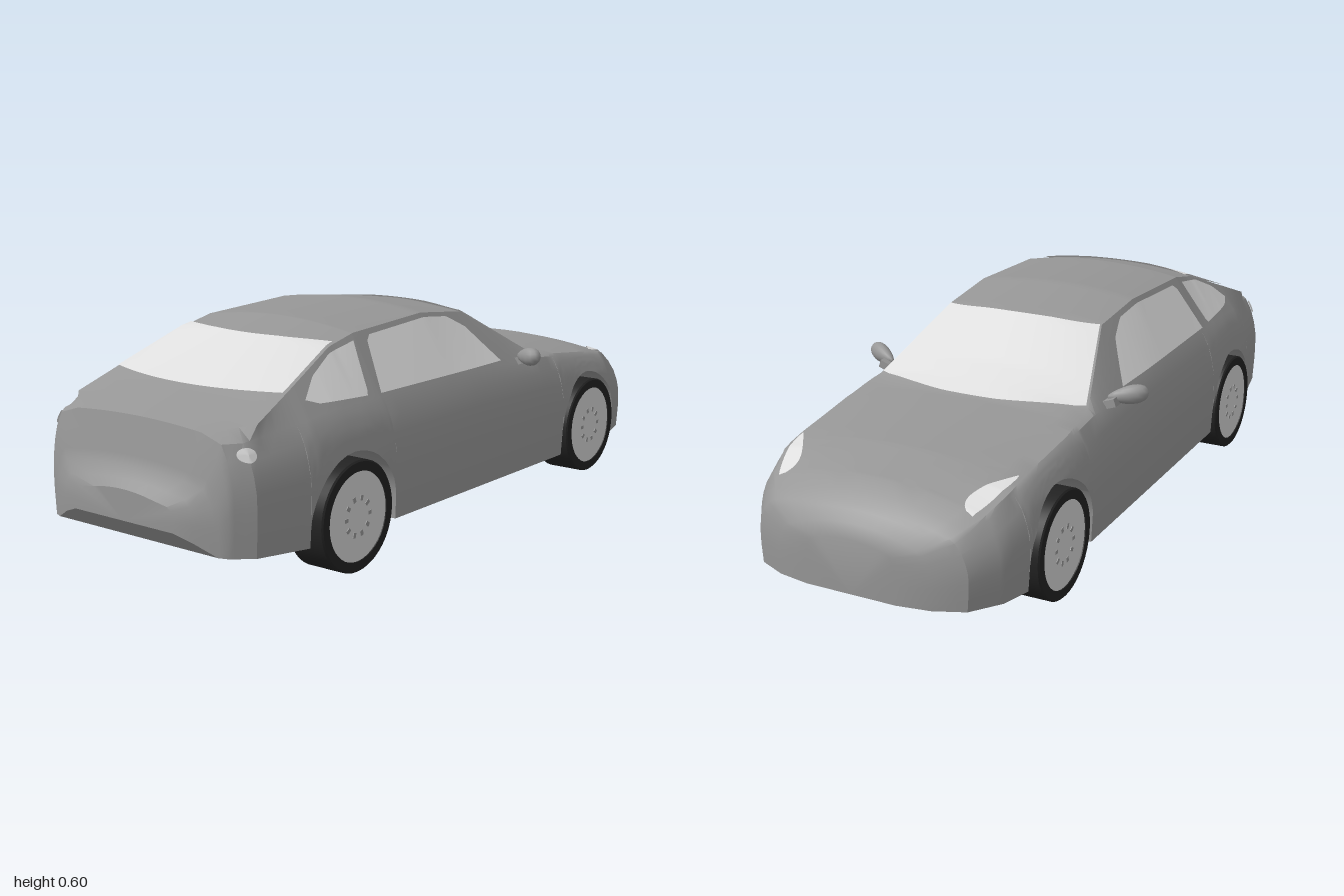
import * as THREE from 'three';
import { toCreasedNormals } from 'three/addons/utils/BufferGeometryUtils.js';

const material = (name, color, side = THREE.FrontSide) => {
  const m = new THREE.MeshStandardMaterial({ color, side });
  m.name = name;
  return m;
};

// Piecewise-linear curve through [x, value] knots
const curve = (...k) => {
  const f = (x) => {
    if (x <= k[0][0]) return k[0][1];
    for (let i = 1; i < k.length; i++) {
      if (x <= k[i][0]) {
        const t = (x - k[i - 1][0]) / (k[i][0] - k[i - 1][0]);
        return k[i - 1][1] + (k[i][1] - k[i - 1][1]) * t;
      }
    }
    return k[k.length - 1][1];
  };
  f.knots = k.map((p) => p[0]);
  return f;
};

// Body lines along the length
const topY = curve([-1, 0.25], [-0.965, 0.3], [-0.94, 0.42], [-0.78, 0.468], [-0.54, 0.567], [-0.41, 0.595],
  [-0.1, 0.603], [0.13, 0.57], [0.3, 0.47], [0.42, 0.415], [0.74, 0.385], [0.88, 0.35], [0.95, 0.305], [0.985, 0.27], [1, 0.235]);
const edgeY = curve([-1, 0.24], [-0.965, 0.29], [-0.94, 0.41], [-0.85, 0.425], [-0.7, 0.482], [-0.52, 0.55],
  [-0.41, 0.572], [-0.1, 0.582], [0.1, 0.558], [0.36, 0.403], [0.7, 0.358], [0.8, 0.338], [0.88, 0.303], [0.95, 0.268], [1, 0.22]);
const edgeZ = curve([-1, 0.1], [-0.965, 0.17], [-0.94, 0.21], [-0.85, 0.305], [-0.7, 0.283], [-0.5, 0.25],
  [0.1, 0.24], [0.35, 0.32], [0.5, 0.332], [0.8, 0.325], [0.88, 0.3], [0.95, 0.25], [0.985, 0.18], [1, 0.1]);
const halfWidth = curve([-1, 0.17], [-0.985, 0.22], [-0.95, 0.3], [-0.9, 0.345], [-0.7, 0.38], [-0.5, 0.387],
  [0.5, 0.387], [0.76, 0.383], [0.87, 0.355], [0.95, 0.3], [0.985, 0.22], [1, 0.13]);
const floorY = curve([-1, 0.17], [-0.96, 0.12], [-0.73, 0.102], [0, 0.09], [0.5, 0.082], [1, 0.09]);
const beltLine = curve([-0.9, 0.39], [-0.6, 0.418], [0, 0.412], [0.4, 0.392]);
const bulge = curve([0, 0.985], [0.35, 1], [0.6, 0.995], [0.8, 0.96], [0.92, 0.92], [1, 0.88]);
const beltY = (x) => Math.min(beltLine(x), edgeY(x) - 0.008);

const WHEELS = [-0.57, 0.62], WHEEL_R = 0.145, ARCH_R = 0.166;

// Outer surface: side z at a height, and top y at a width
const sideZ = (x, y) => {
  const b = beltY(x), f = floorY(x);
  if (y <= b) return halfWidth(x) * bulge((y - f) / (b - f));
  const z = halfWidth(x) * 0.88;
  return z + (edgeZ(x) - z) * Math.min(1, (y - b) / (edgeY(x) - b));
};
const deckY = (x, z) => edgeY(x) + (topY(x) - edgeY(x)) * (1 - Math.min(1, (z / edgeZ(x)) ** 2));

// Lower edge of the side panel, raised over the wheels
const sillY = (x) => {
  let y = floorY(x);
  for (const c of WHEELS) {
    const d = ARCH_R ** 2 - (x - c) ** 2;
    if (d > 0) y = Math.max(y, WHEEL_R + Math.sqrt(d));
  }
  return y;
};

function section(x) {
  const fy = floorY(x), sy = sillY(x), by = beltY(x), inner = Math.min(0.262, halfWidth(x) * 0.65);
  const half = [[0, fy], [inner, fy], [inner, sy]];
  for (let i = 0; i <= 7; i++) {
    const y = sy + (by - sy) * i / 7;
    half.push([sideZ(x, y), y]);
  }
  for (let i = 0; i <= 6; i++) {
    const z = edgeZ(x) * (1 - i / 6);
    half.push([z, deckY(x, z)]);
  }
  const mirrored = half.slice(1, -1).reverse().map(([z, y]) => [-z, y]);
  return [...half, ...mirrored].map(([z, y]) => [x, y, z]);
}

function bodyGeometry() {
  const xs = new Set();
  for (const c of [topY, edgeY, edgeZ, halfWidth, floorY]) c.knots.forEach((x) => xs.add(x));
  for (let i = -24; i <= 24; i++) xs.add(i * 0.04);
  for (const c of WHEELS) {
    for (let i = 0; i <= 16; i++) xs.add(c - ARCH_R * Math.cos(Math.PI * i / 16));
    xs.add(c - ARCH_R + 0.0008).add(c + ARCH_R - 0.0008);
  }
  const loops = [...xs].sort((a, b) => a - b).map(section);
  const n = loops[0].length, last = loops.length - 1, pos = [];
  const tri = (a, b, c) => pos.push(...a, ...b, ...c);
  for (let i = 0; i < last; i++) {
    for (let j = 0; j < n; j++) {
      const k = (j + 1) % n;
      tri(loops[i][j], loops[i + 1][j], loops[i + 1][k]);
      tri(loops[i][j], loops[i + 1][k], loops[i][k]);
    }
  }
  for (let j = 1; j < n - 1; j++) {
    tri(loops[0][0], loops[0][j], loops[0][j + 1]);
    tri(loops[last][0], loops[last][j + 1], loops[last][j]);
  }
  const g = new THREE.BufferGeometry();
  g.setAttribute('position', new THREE.Float32BufferAttribute(pos, 3));
  return toCreasedNormals(g, 0.5);
}

// Thin sheet from a rule point(u, v)
function patch(point, nu = 32, nv = 10) {
  const g = new THREE.PlaneGeometry(1, 1, nu, nv), p = g.attributes.position;
  for (let i = 0; i < p.count; i++) p.setXYZ(i, ...point(p.getX(i) + 0.5, p.getY(i) + 0.5));
  g.computeVertexNormals();
  return g;
}
const LIFT = 0.005;
// Panel on the flank between two curves over x
const sidePanel = (low, high, s) => patch((u, v) => {
  const a = low.knots[0], x = a + (low.knots[low.knots.length - 1] - a) * u;
  const y = low(x) + (high(x) - low(x)) * v;
  return [x, y + 0.001, s * (sideZ(x, y) + LIFT)];
});
// Screen across the car between two bowed lines
const screen = (rear, front) => patch((u, v) => {
  const w = u * 2 - 1;
  const a = rear(Math.abs(w)), x = a + (front(Math.abs(w)) - a) * v;
  const z = w * edgeZ(x) * 0.98;
  return [x, deckY(x, z) + LIFT, z];
}, 24, 24);

export function createModel() {
  const car = new THREE.Group();
  car.name = 'car';
  const paint = material('body paint', 0x969696);
  const glass = material('window glass', 0xdedede, THREE.DoubleSide);
  const rubber = material('tyre rubber', 0x222222);
  const alloy = material('wheel alloy', 0xd2d2d2);
  const add = (name, geometry, mat, parent = car) => {
    const m = new THREE.Mesh(geometry, mat);
    m.name = name;
    parent.add(m);
    return m;
  };

  add('body', bodyGeometry(), paint);
  add('windshield', screen((w) => 0.135 - 0.03 * w * w, (w) => 0.425 - 0.075 * w * w), glass);
  add('rearWindow', screen((w) => -0.78 + 0.05 * w * w, (w) => -0.55 + 0.06 * w * w), glass);

  // Tyre turned as a ring with slightly rounded shoulders
  const tyreProfile = [[0.117, -0.057], [0.141, -0.057], [0.145, -0.053], [0.145, 0.053], [0.141, 0.057], [0.117, 0.057], [0.117, -0.057]];
  const tyre = toCreasedNormals(new THREE.LatheGeometry(tyreProfile.map((p) => new THREE.Vector2(...p)), 40).rotateX(Math.PI / 2), 0.5);
  const rim = new THREE.CylinderGeometry(0.118, 0.118, 0.108, 40).rotateX(Math.PI / 2);
  const hubMark = new THREE.BoxGeometry(0.014, 0.01, 0.003);

  for (const s of [1, -1]) {
    const side = s > 0 ? 'left' : 'right'; 
    // Side glass and lamps
    add(side + 'DoorWindow', sidePanel(curve([-0.41, 0.425], [0.17, 0.415]),
      curve([-0.41, 0.425], [-0.37, 0.56], [-0.1, 0.57], [0.01, 0.557], [0.08, 0.52], [0.17, 0.415]), s), glass);
    add(side + 'QuarterWindow', sidePanel(curve([-0.68, 0.452], [-0.64, 0.438], [-0.46, 0.428], [-0.425, 0.555]),
      curve([-0.68, 0.452], [-0.62, 0.498], [-0.53, 0.538], [-0.425, 0.555]), s), glass);
    add(side + 'Headlight', patch((u, v) => {
      const x = 0.73 + 0.16 * u;
      const outer = 0.318 - 0.04 * u * u, inner = outer - 0.055 * Math.sin(Math.PI * Math.min(1, u * 0.6 + 0.02)) * Math.sqrt(1 - u ** 6);
      const z = Math.min(inner + (outer - inner) * v, edgeZ(x));
      return [x, deckY(x, z) + LIFT, s * z];
    }), glass);
    add(side + 'Taillight', patch((u, v) => {
      const a = u * Math.PI * 2, x = -0.9 + 0.022 * v * Math.cos(a), y = 0.364 + 0.017 * v * Math.sin(a);
      return [x - 0.003, y, s * (sideZ(x, y) + LIFT)];
    }, 20, 3), glass);

    // Door mirror: tapered pod on a short foot
    const mirror = new THREE.Group();
    mirror.name = side + 'Mirror';
    car.add(mirror);
    const pod = new THREE.SphereGeometry(1, 14, 10), p = pod.attributes.position;
    for (let i = 0; i < p.count; i++) {
      const t = p.getZ(i) * s, k = 0.8 + 0.3 * t;
      p.setXYZ(i, p.getX(i) * 0.027 * k, p.getY(i) * 0.031 * k + 0.006 * t, s * t * 0.056);
    }
    pod.computeVertexNormals();
    const podMesh = add(side + 'MirrorPod', pod, paint, mirror);
    podMesh.position.set(0.24, 0.422, s * 0.384);
    podMesh.rotation.y = -s * 0.5;
    const foot = add(side + 'MirrorFoot', new THREE.BoxGeometry(0.035, 0.022, 0.05), paint, mirror);
    foot.position.set(0.27, 0.402, s * 0.343);
    foot.rotation.x = -s * 0.35;

    // Wheels
    WHEELS.forEach((x, i) => {
      const wheel = new THREE.Group();
      wheel.name = side + (i ? 'Front' : 'Rear') + 'Wheel';
      wheel.position.set(x, WHEEL_R, s * 0.332);
      car.add(wheel);
      add('tyre', tyre, rubber, wheel);
      add('rim', rim, alloy, wheel);
      for (let k = 0; k < 10; k++) {
        const a = k * Math.PI / 5, mark = add('hubMark', hubMark, paint, wheel);
        mark.position.set(0.048 * Math.cos(a), 0.048 * Math.sin(a), s * 0.0545);
        mark.rotation.z = a;
      }
    });
  }
  return car;
}
